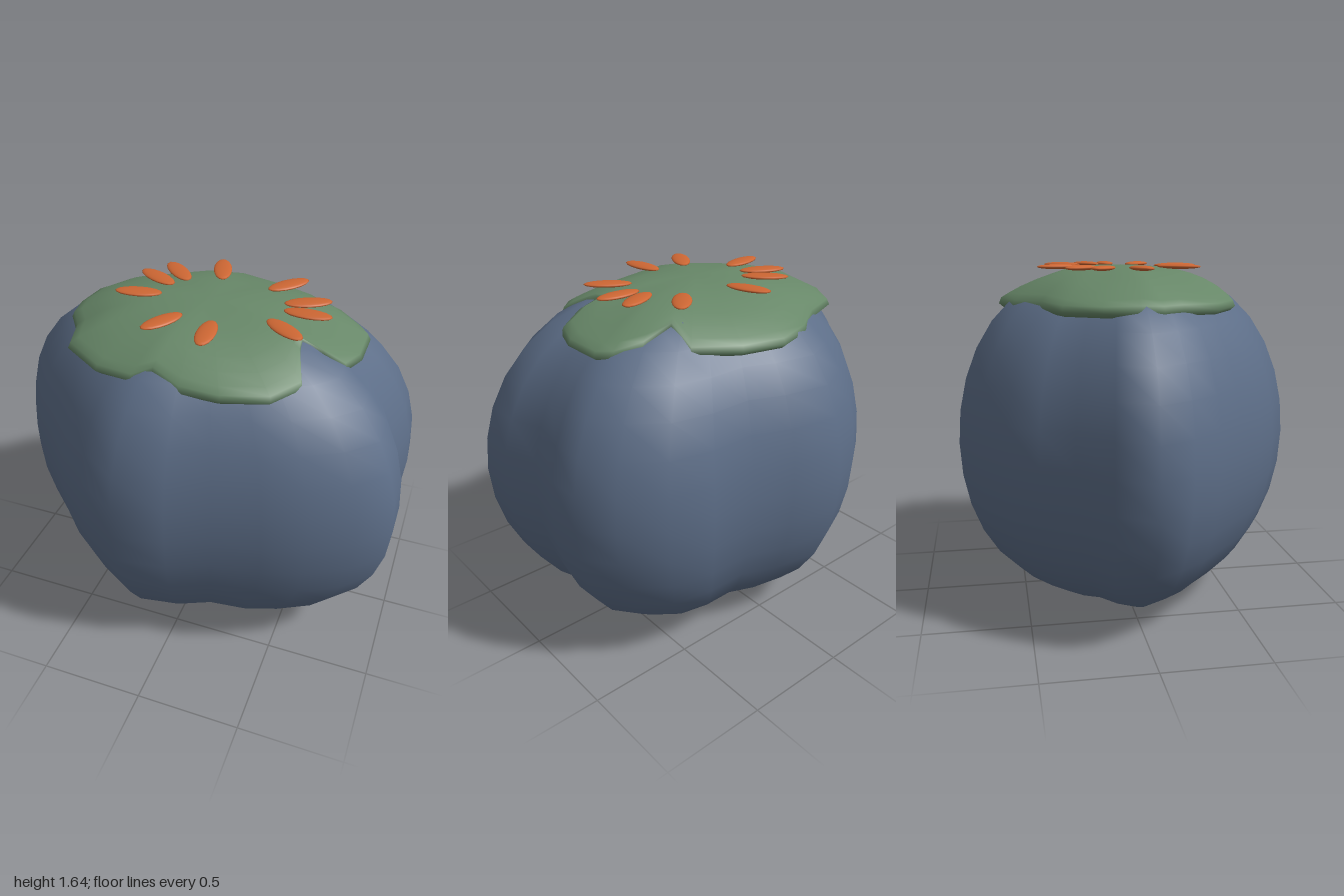
import * as THREE from 'three';

const MID = 0.81; // half height of the body
const POWER = 0.7; // squareness of the body's profile

// Lobed plan outlines as [x, z], clockwise from above
const bodyPlan = [
  [-1, 0], [-0.9, -0.17], [-0.74, -0.31], [-0.67, -0.46], [-0.55, -0.59], [-0.38, -0.71], [-0.18, -0.8],
  [0.07, -0.75], [0.25, -0.675], [0.47, -0.675], [0.68, -0.63], [0.85, -0.5], [0.96, -0.36], [0.97, -0.2],
  [0.93, 0], [0.99, 0.16], [0.99, 0.34], [0.85, 0.48], [0.66, 0.58], [0.47, 0.645], [0.25, 0.67],
  [0.06, 0.755], [-0.18, 0.795], [-0.38, 0.68], [-0.53, 0.57], [-0.67, 0.43], [-0.81, 0.3], [-0.91, 0.16],
];
const leafPlan = [
  [-0.68, -0.02], [-0.66, -0.18], [-0.56, -0.34], [-0.36, -0.42], [-0.19, -0.53], [0, -0.59], [0.2, -0.54],
  [0.4, -0.44], [0.4, -0.31], [0.55, -0.31], [0.66, -0.25], [0.71, -0.19], [0.71, 0], [0.67, 0.12],
  [0.57, 0.14], [0.47, 0.13], [0.48, 0.2], [0.53, 0.34], [0.43, 0.46], [0.23, 0.525], [0.05, 0.52],
  [-0.08, 0.485], [-0.17, 0.515], [-0.35, 0.48], [-0.55, 0.35], [-0.6, 0.18], [-0.67, 0.08],
];

// Smooth closed surface: top point, rings going down, bottom point
function loft(top, rings, bottom) {
  const n = rings[0].length;
  const points = [top, ...rings.flat(), bottom];
  const last = points.length - 1;
  const index = [];
  for (let j = 0; j < n; j++) {
    const k = (j + 1) % n;
    index.push(0, 1 + k, 1 + j);
    for (let i = 0; i < rings.length - 1; i++) {
      const a = 1 + i * n + j, b = 1 + i * n + k;
      index.push(a, b, a + n, b, b + n, a + n);
    }
    const base = 1 + (rings.length - 1) * n;
    index.push(base + j, base + k, last);
  }
  const geometry = new THREE.BufferGeometry();
  geometry.setAttribute('position', new THREE.Float32BufferAttribute(points.flat(), 3));
  geometry.setIndex(index);
  geometry.computeVertexNormals();
  return geometry;
}

// Fraction of the way from the axis to the body's widest outline
function planFraction(x, z) {
  for (let i = 0; i < bodyPlan.length; i++) {
    const [px, pz] = bodyPlan[i], [qx, qz] = bodyPlan[(i + 1) % bodyPlan.length];
    const det = px * qz - pz * qx;
    const u = (x * qz - z * qx) / det, v = (px * z - pz * x) / det;
    if (u >= -1e-9 && v >= -1e-9) return u + v;
  }
  return 0;
}

function bodyTop(x, z) {
  const s = Math.pow(Math.min(1, planFraction(x, z)), 1 / POWER);
  return MID + MID * Math.sqrt(1 - s * s);
}

export function createModel() {
  const blue = new THREE.MeshStandardMaterial({ color: 0x5d6e88 });
  blue.name = 'slate blue';
  const green = new THREE.MeshStandardMaterial({ color: 0x678768 });
  green.name = 'leaf green';
  const orange = new THREE.MeshStandardMaterial({ color: 0xcc6633 });
  orange.name = 'seed orange';

  const model = new THREE.Group();
  const add = (name, geometry, material) => {
    const mesh = new THREE.Mesh(geometry, material);
    mesh.name = name;
    model.add(mesh);
    return mesh;
  };

  // Lobed body
  const bodyRings = [];
  for (let i = 1; i < 16; i++) {
    const a = (i / 16) * Math.PI;
    const f = Math.pow(Math.sin(a), POWER);
    bodyRings.push(bodyPlan.map(([x, z]) => [x * f, MID + MID * Math.cos(a), z * f]));
  }
  add('body', loft([0, 2 * MID, 0], bodyRings, [0, 0, 0]), blue);

  // Leafy cap: a shallow dome lying over the body, with a turned-under rim
  const capY = (x, z, t) => Math.max(1.622 - 0.15 * Math.pow(t, 2.6), bodyTop(x, z) + 0.01);
  const capRings = [0.2, 0.4, 0.55, 0.7, 0.82, 0.92, 0.98].map((t) =>
    leafPlan.map(([x, z]) => [x * t, capY(x * t, z * t, t), z * t]));
  capRings.push(leafPlan.map(([x, z]) => [x, capY(x, z, 1) - 0.02, z]));
  capRings.push(leafPlan.map(([x, z]) => [x * 0.96, capY(x, z, 1) - 0.04, z * 0.96]));
  add('leafCap', loft([0, 1.63, 0], capRings, [0, 1.4, 0]), green);

  // Ring of flat seeds: centre x, centre z, direction x, direction z
  const seedGeometry = new THREE.SphereGeometry(1, 16, 10);
  const seeds = [
    [-0.045, -0.305, 0.07, 0.21], [0.295, -0.255, 0.15, -0.17], [0.425, -0.115, 0.21, -0.1],
    [0.45, -0.01, 1, 0], [0.39, 0.155, 0.2, 0.14], [0.09, 0.295, 0.02, 0.21],
    [-0.125, 0.265, -0.12, 0.2], [-0.33, 0.045, -0.21, 0.04], [-0.305, -0.125, 0.2, 0.105],
    [-0.235, -0.215, 0.17, 0.17],
  ];
  for (const [x, z, dx, dz] of seeds) {
    const seed = add('seed', seedGeometry, orange);
    seed.position.set(x, 1.625, z);
    seed.rotation.y = Math.atan2(-dz, dx);
    seed.scale.set(0.11, 0.012, 0.044);
  }
  return model;
}
